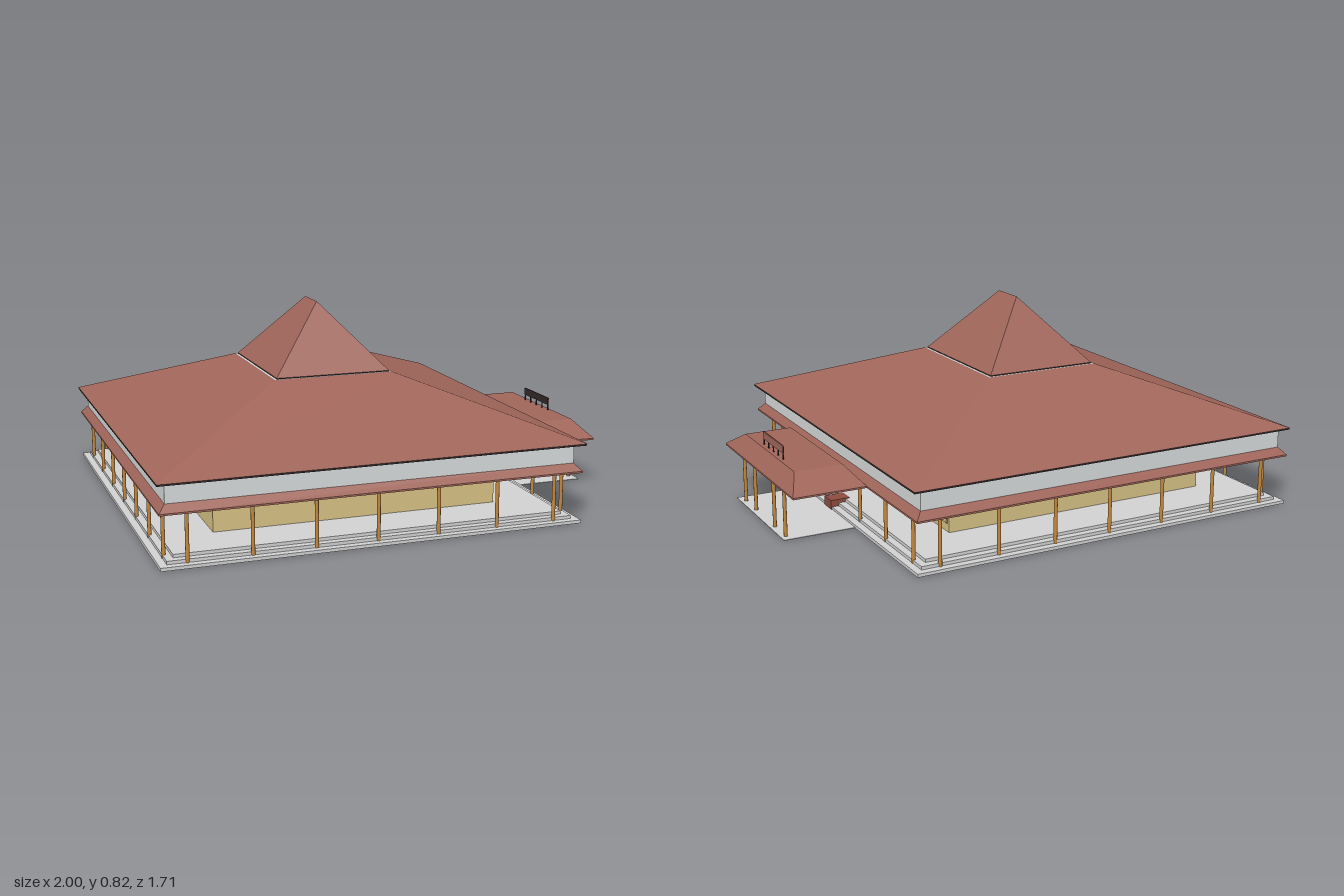
import * as THREE from 'three';

const material = (name, color) => {
  const m = new THREE.MeshStandardMaterial({ color });
  m.name = name;
  return m;
};

export function createModel() {
  const tile = material('roof tile', 0xa0655a);
  const dark = material('dark trim', 0x33292a);
  const plaster = material('pale plaster', 0xd6d9d9);
  const stone = material('stone', 0xd0d0d0);
  const tan = material('tan wall', 0xd6c084);
  const wood = material('wood', 0xc0863f);
  const glass = material('grey glass', 0x7c7c7e);
  const frameTan = material('window frame', 0x9a8858);
  const red = material('red brick', 0x8c4c3e);

  const model = new THREE.Group();
  const cx = -0.146, cz = -0.007;

  const add = (parent, name, geometry, mat) => {
    const mesh = new THREE.Mesh(geometry, mat);
    mesh.name = name;
    parent.add(mesh);
    return mesh;
  };
  const group = (name) => {
    const g = new THREE.Group();
    g.name = name;
    model.add(g);
    return g;
  };
  // Box given by its limits on each axis
  const box = (parent, name, [x0, x1], [y0, y1], [z0, z1], mat) =>
    add(parent, name, new THREE.BoxGeometry(x1 - x0, y1 - y0, z1 - z0)
      .translate((x0 + x1) / 2, (y0 + y1) / 2, (z0 + z1) / 2), mat);
  // Square slab centred on the hall
  const slab = (parent, name, half, y, mat) =>
    box(parent, name, [cx - half, cx + half], y, [cz - half, cz + half], mat);
  // Hipped roof: a box whose top corners are drawn in to their own half sizes
  const hip = (parent, name, x, z, [y0, y1], bottom, top, mats) => {
    const geometry = new THREE.BoxGeometry(2, 2, 2);
    const p = geometry.attributes.position;
    for (let i = 0; i < p.count; i++) {
      const upper = p.getY(i) > 0;
      const [hx, hz] = upper ? top : bottom;
      p.setXYZ(i, x + p.getX(i) * hx, upper ? y1 : y0, z + p.getZ(i) * hz);
    }
    geometry.computeVertexNormals();
    return add(parent, name, geometry, mats);
  };
  // Material order: right, left, top, underside, front, back
  const roofMats = (top, under) => [tile, tile, top, under, tile, tile];

  // Stepped plinth
  const plinth = group('plinth');
  [0.845, 0.815, 0.785].forEach((half, i) =>
    slab(plinth, 'plinthStep', half, [i * 0.013, (i + 1) * 0.013], stone));
  box(plinth, 'porchFloor', [0.66, 0.997], [0, 0.003], [-0.28, 0.28], stone);
  box(plinth, 'entranceStep', [0.62, 0.703], [0.003, 0.041], [-0.042, 0.03], red);

  // Hall walls
  const hall = group('hall');
  slab(hall, 'hallWalls', 0.585, [0.039, 0.208], tan);
  const wallX = cx + 0.585;

  // Glazed doors: a dark plate with lighter panes on it
  const doors = (name, z0, z1, panes) => {
    box(hall, name + 'Frame', [wallX, wallX + 0.004], [0.039, 0.182], [z0, z1], dark);
    const step = (z1 - z0) / panes;
    for (let i = 0; i < panes; i++) {
      box(hall, name + 'Pane', [wallX + 0.004, wallX + 0.007], [0.043, 0.177],
        [z0 + i * step + 0.004, z0 + (i + 1) * step - 0.004], glass);
    }
  };
  doors('sideDoor', 0.415, 0.567, 2);
  doors('mainDoor', -0.2, 0.19, 5);

  // Closed window beside the doors
  box(hall, 'windowFrame', [wallX, wallX + 0.003], [0.072, 0.182], [-0.577, -0.42], frameTan);
  box(hall, 'windowShutter', [wallX, wallX + 0.005], [0.076, 0.178], [-0.573, -0.424], tan);

  // Columns round the veranda, under the porch and by the entrance
  const columns = group('columns');
  const column = (name, x, z, y0, r = 0.0075) =>
    add(columns, name, new THREE.CylinderGeometry(r, r, 0.21 - y0, 10)
      .translate(x, (0.21 + y0) / 2, z), wood);
  for (let i = -3; i <= 3; i++) {
    const d = i * 0.246;
    for (const side of [-1, 1]) {
      column('verandaColumn', cx + d, cz + side * 0.813, 0.01);
      if (i !== 0 || side < 0) column('verandaColumn', cx + side * 0.81, cz + d, 0.01);
    }
  }
  for (const z of [0.225, 0.1, -0.12, -0.24]) column('porchColumn', 0.975, z, 0);
  for (const z of [0.1, -0.12]) column('entranceColumn', 0.485, z, 0.039, 0.005);

  // Veranda ceiling, tiled skirt and pale band
  const eaves = group('eaves');
  slab(eaves, 'skirtEdge', 0.845, [0.206, 0.213], [tile, tile, stone, stone, tile, tile]);
  hip(eaves, 'skirtRoof', cx, cz, [0.213, 0.242], [0.845, 0.845], [0.818, 0.818],
    roofMats(tile, stone));
  slab(eaves, 'upperBand', 0.818, [0.24, 0.322], plaster);

  // Main roof in two tiers
  const roof = group('mainRoof');
  box(roof, 'roofSoffit', [cx - 0.853, cx + 0.853], [0.319, 0.327], [-0.85, 0.85], dark);
  hip(roof, 'lowerRoof', cx, 0, [0.327, 0.549], [0.854, 0.854], [0.25, 0.3],
    roofMats(plaster, dark));
  box(roof, 'tierGap', [cx - 0.24, cx + 0.24], [0.549, 0.553], [-0.29, 0.29], dark);
  hip(roof, 'upperRoof', cx, 0, [0.553, 0.82], [0.24, 0.29], [0, 0.076], roofMats(tile, dark));

  // Porch roof
  const porch = group('porch');
  box(porch, 'porchEdge', [0.698, 1], [0.206, 0.213], [-0.405, 0.391],
    [tile, tile, stone, stone, tile, tile]);
  hip(porch, 'porchRoof', 0.849, cz, [0.213, 0.277], [0.151, 0.398], [0.1, 0.283],
    roofMats(tile, stone));

  // Plain board on posts above the porch
  const board = group('porchBoard');
  box(board, 'boardFace', [0.931, 0.934], [0.302, 0.333], [-0.125, 0.1], tile);
  box(board, 'boardBack', [0.928, 0.931], [0.302, 0.333], [-0.125, 0.1], dark);
  for (let i = 0; i < 5; i++) {
    const z = -0.122 + i * 0.0548;
    box(board, 'boardPost', [0.929, 0.933], [0.275, 0.303], [z - 0.0025, z + 0.0025], dark);
  }

  return model;
}
